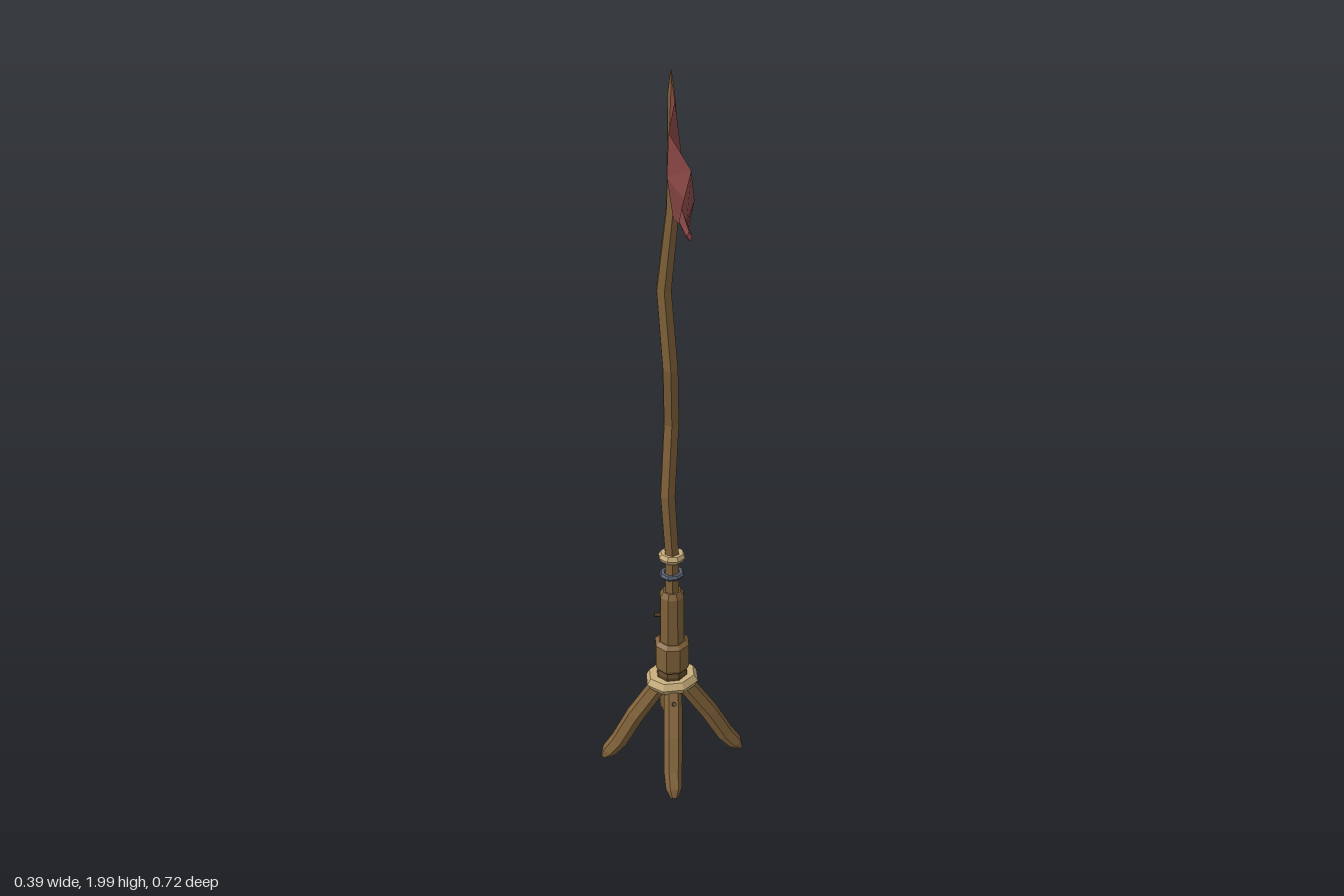
import * as THREE from 'three';

const mat = (name, color) => {
  const m = new THREE.MeshStandardMaterial({ color, flatShading: true });
  m.name = name;
  return m;
};
const V = (x, y, z) => new THREE.Vector3(x, y, z);

// Closed skin over rings of points; rings run counter-clockwise seen from the far end
function loft(rings) {
  const n = rings[0].length, pos = [], index = [];
  rings.forEach(r => r.forEach(p => pos.push(p.x, p.y, p.z)));
  for (let i = 0; i < rings.length - 1; i++) {
    for (let j = 0; j < n; j++) {
      const a = i * n + j, b = i * n + (j + 1) % n;
      index.push(a, b, a + n, b, b + n, a + n);
    }
  }
  const last = (rings.length - 1) * n;
  for (let j = 1; j < n - 1; j++) {
    index.push(0, j + 1, j, last, last + j, last + j + 1);
  }
  const g = new THREE.BufferGeometry();
  g.setAttribute('position', new THREE.Float32BufferAttribute(pos, 3));
  g.setIndex(index);
  const flat = g.toNonIndexed();
  flat.computeVertexNormals();
  return flat;
}

// Stick through [x, y, z, radius] sections
function stick(sections, sides = 6) {
  const pts = sections.map(s => V(s[0], s[1], s[2]));
  const d = pts[pts.length - 1].clone().sub(pts[0]).normalize();
  const u = V(1, 0, 0).addScaledVector(d, -d.x).normalize();
  const v = d.clone().cross(u);
  return loft(pts.map((p, i) => Array.from({ length: sides }, (_, j) => {
    const a = (j + 0.5) / sides * Math.PI * 2, r = sections[i][3];
    return p.clone().addScaledVector(u, Math.cos(a) * r).addScaledVector(v, Math.sin(a) * r);
  })));
}

export function createModel() {
  const group = new THREE.Group();
  const wood = mat('wood', 0x80623a);
  const rope = mat('rope', 0xc9ae7c);
  const metal = mat('metal', 0x596073);
  const cloth = mat('cloth', 0x864644);
  const dark = mat('dark wood', 0x5a4426);
  const add = (name, geo, m, x = 0, y = 0, z = 0) => {
    const mesh = new THREE.Mesh(geo, m);
    mesh.name = name;
    mesh.position.set(x, y, z);
    group.add(mesh);
    return mesh;
  };
  const Z = -0.165;

  // Crooked pole
  add('pole', stick([
    [0, 0.25, Z, 0.022], [0, 0.68, Z, 0.02], [-0.011, 0.87, -0.157, 0.021],
    [0, 1.07, -0.178, 0.021], [-0.004, 1.24, -0.152, 0.021], [-0.018, 1.45, -0.166, 0.02],
    [0.003, 1.67, -0.158, 0.017], [0.003, 1.85, -0.162, 0.014],
    [0, 1.95, -0.164, 0.009], [0, 2, -0.165, 0.001]]), wood);

  // Thick handle, collar and neck
  add('handle', stick([[0, 0.38, Z, 0.034], [0, 0.55, Z, 0.033], [0, 0.565, Z, 0.024]], 8), wood);
  add('collar', stick([[0, 0.315, Z, 0.043], [0, 0.325, Z, 0.047], [0, 0.395, Z, 0.047],
    [0, 0.405, Z, 0.036]], 8), wood);
  add('neck', stick([[0, 0.25, Z, 0.036], [0, 0.3, Z, 0.042], [0, 0.315, Z, 0.035]], 8), dark);

  // Bindings
  const ring = (name, m, y, r, tube, sx, sy, sz, tilt) => {
    const g = new THREE.TorusGeometry(r, tube, 6, 8);
    g.rotateX(Math.PI / 2).rotateY(Math.PI / 8).scale(sx, sy, sz).rotateZ(tilt);
    add(name, g, m, 0, y, Z);
  };
  ring('legBinding', rope, 0.272, 0.052, 0.021, 1, 1, 0.85, 0.06);
  ring('upperBinding', rope, 0.673, 0.024, 0.012, 1, 1.1, 0.85, -0.04);
  ring('metalRing', metal, 0.617, 0.025, 0.008, 1, 1, 0.9, 0.03);

  // Four splayed legs; [angle from +x, sideways foot shift]
  [[0, -0.006], [Math.PI / 2, 0.008], [Math.PI, -0.004], [-Math.PI / 2, 0]].forEach(([a, s], i) => {
    const leg = add(['left', 'front', 'right', 'back'][i] + 'Leg', stick([
      [0.005, 0.29, 0, 0.02], [0.035, 0.25, 0, 0.024], [0.1, 0.15, s * 0.5, 0.025],
      [0.145, 0.065, s, 0.024], [0.172, 0.03, s, 0.021], [0.186, 0.011, s, 0.01]]), wood, 0, 0, Z);
    leg.rotation.y = -a;
  });

  // Small pegs
  add('handlePeg', new THREE.CylinderGeometry(0.006, 0.006, 0.02, 6).rotateZ(Math.PI / 2),
    dark, -0.036, 0.485, Z);
  add('legPeg', new THREE.CylinderGeometry(0.006, 0.007, 0.035, 6).rotateX(0.9),
    dark, 0, 0.237, -0.095);

  // Rippling pennant: [z top, z bottom, y top, y bottom, x top, x bottom, half thickness]
  const cuts = [
    [-0.163, -0.143, 1.985, 1.675, 0, 0.004, 0.008], [-0.08, -0.08, 1.965, 1.7, 0.002, 0.012, 0.01],
    [0.035, 0.035, 1.942, 1.735, -0.02, -0.01, 0.009], [0.17, 0.17, 1.918, 1.778, 0.018, 0.012, 0.01],
    [0.295, 0.295, 1.895, 1.832, -0.012, -0.006, 0.008], [0.366, 0.366, 1.878, 1.855, -0.002, 0, 0.006]];
  add('pennant', loft(cuts.map(([zt, zb, yt, yb, xt, xb, h]) => {
    const x = (xt + xb) / 2, y = (yt + yb) / 2, z = (zt + zb) / 2;
    return [V(x + h, y, z), V(xt, yt, zt), V(x - h, y, z), V(xb, yb, zb)];
  })), cloth);

  return group;
}
